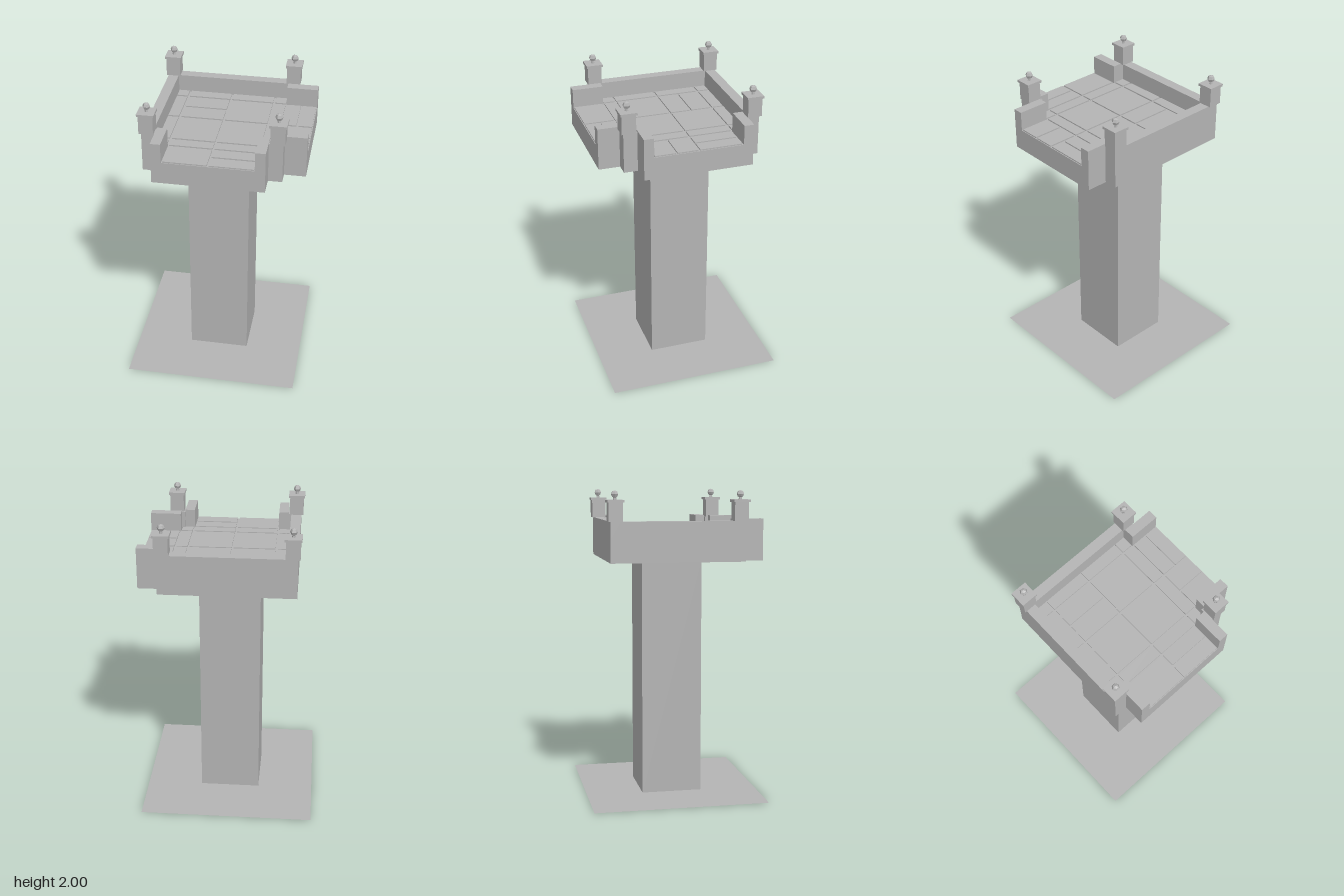
import * as THREE from 'three';

const stone = new THREE.MeshStandardMaterial({ color: 0xb4b4b4, flatShading: true, side: THREE.DoubleSide });
stone.name = 'grey stone';

// Box given by its bounds
function block(parent, name, x0, x1, y0, y1, z0, z1) {
  const mesh = new THREE.Mesh(new THREE.BoxGeometry(x1 - x0, y1 - y0, z1 - z0), stone);
  mesh.position.set((x0 + x1) / 2, (y0 + y1) / 2, (z0 + z1) / 2);
  mesh.name = name;
  parent.add(mesh);
}

// Post with a square cap and a faceted ball
function cornerPost(x, z) {
  const post = new THREE.Group();
  post.name = 'cornerPost';
  block(post, 'postShaft', -0.045, 0.045, 1.807, 1.925, -0.045, 0.045);
  block(post, 'postCap', -0.053, 0.053, 1.925, 1.941, -0.053, 0.053);
  const neck = new THREE.Mesh(new THREE.CylinderGeometry(0.009, 0.012, 0.022, 5), stone);
  neck.name = 'finialNeck';
  neck.position.y = 1.95;
  const ball = new THREE.Mesh(new THREE.SphereGeometry(0.024, 6, 4), stone);
  ball.name = 'finialBall';
  ball.position.y = 1.976;
  post.add(neck, ball);
  post.position.set(x, 0, z);
  return post;
}

export function createModel() {
  const model = new THREE.Group();
  model.name = 'lookoutTower';

  // Ground sheet and column
  const ground = new THREE.Mesh(new THREE.PlaneGeometry(1.135, 1.135), stone);
  ground.name = 'groundSheet';
  ground.rotation.x = -Math.PI / 2;
  ground.position.set(-0.002, 0, -0.002);
  model.add(ground);
  block(model, 'column', -0.2, 0.195, 0.001, 1.55, -0.2, 0.195);

  // Platform: a square with a bay on the front and on the left side
  const lo = -0.435, hi = 0.43, far = 0.565, b0 = -0.35, b1 = 0.343;
  const outline = [[lo, lo], [hi, lo], [hi, b0], [far, b0], [far, b1], [hi, b1],
    [hi, hi], [b1, hi], [b1, far], [b0, far], [b0, hi], [lo, hi]];
  const shape = new THREE.Shape(outline.map(([x, z]) => new THREE.Vector2(x, -z)));
  const slabGeometry = new THREE.ExtrudeGeometry(shape, { depth: 0.142, bevelEnabled: false });
  slabGeometry.rotateX(-Math.PI / 2);
  const slab = new THREE.Mesh(slabGeometry, stone);
  slab.name = 'platformSlab';
  slab.position.y = 1.55;
  model.add(slab);

  // Low walls on the closed sides and the corner stubs
  const floor = 1.692, wallTop = 1.807, bayTop = 1.817;
  block(model, 'backWall', lo, hi, floor, wallTop, lo, -0.368);
  block(model, 'rightWall', lo, -0.368, floor, wallTop, -0.368, hi);
  block(model, 'frontLeftCorner', b1, hi, floor, wallTop, b1, hi);
  block(model, 'frontRightCorner', -0.368, b0, floor, wallTop, 0.365, hi);
  block(model, 'backLeftCorner', 0.365, hi, floor, wallTop, -0.368, b0);

  // Side walls of the two bays
  for (const [a, b] of [[b0, -0.287], [0.28, b1]]) {
    block(model, 'frontBayWall', a, b, floor, bayTop, 0.365, far);
    block(model, 'leftBayWall', 0.365, far, floor, bayTop, a, b);
  }

  // Paving: [x0, x1, list of z ranges]
  const back = [-0.365, -0.292], rear = [-0.277, -0.01], middle = [0.004, 0.274], front = [0.288, 0.36];
  const paving = [
    [-0.365, -0.295, [back, rear, middle, front]],
    [-0.28, -0.01, [back, [-0.277, -0.15], [-0.137, -0.01], middle, front, [0.373, 0.56]]],
    [0.003, 0.275, [back, rear, middle, front, [0.373, 0.458], [0.473, 0.56]]],
    [0.289, 0.36, [back, rear, middle, front]],
    [0.374, 0.46, [rear]],
    [0.473, 0.56, [rear]],
    [0.374, 0.56, [[0.004, 0.133], [0.145, 0.274]]],
  ];
  for (const [x0, x1, ranges] of paving) {
    for (const [z0, z1] of ranges) block(model, 'pavingSlab', x0, x1, floor, 1.7, z0, z1);
  }

  // Posts on the four corners
  for (const x of [-0.403, 0.397]) {
    for (const z of [-0.403, 0.397]) model.add(cornerPost(x, z));
  }
  return model;
}
